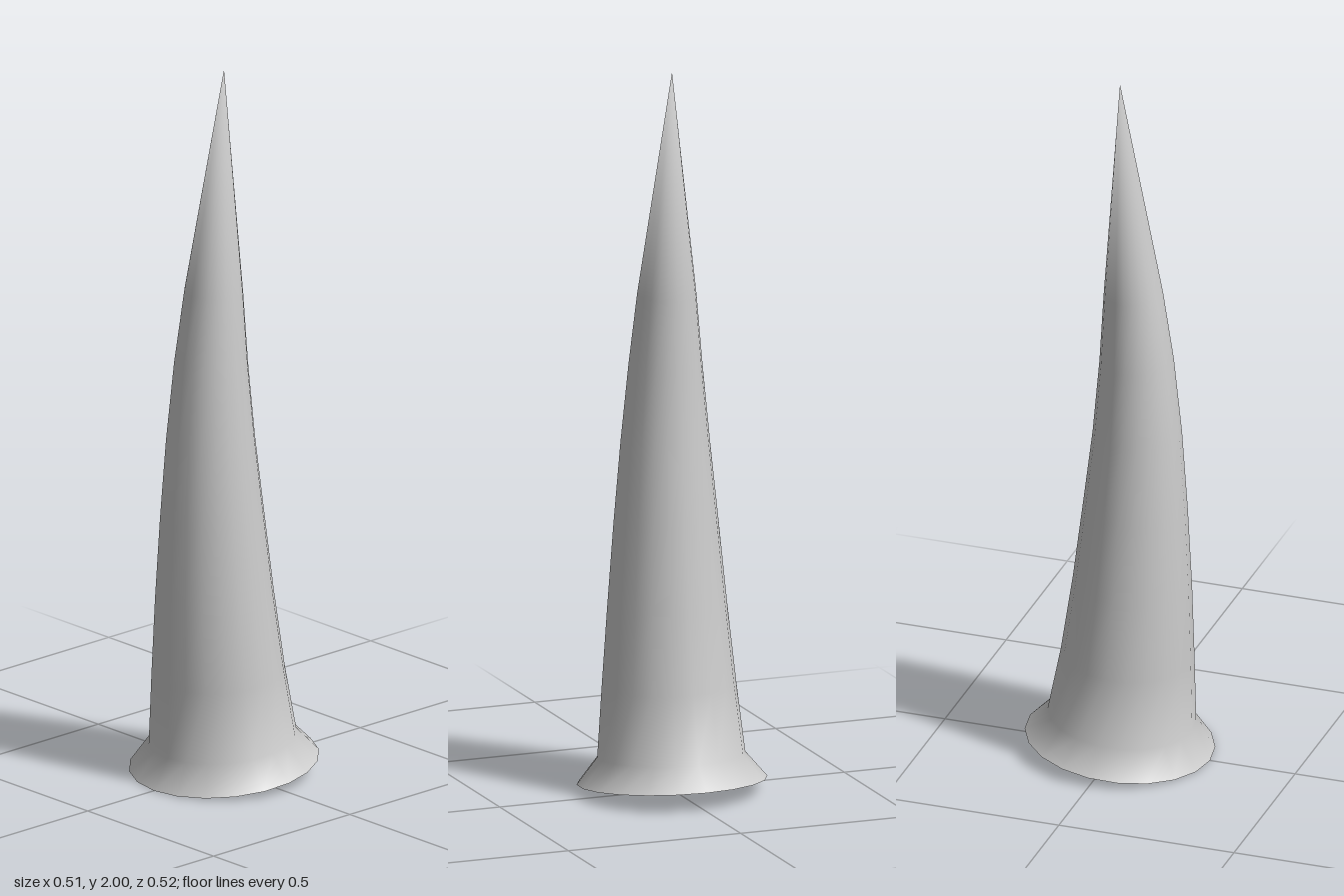
import * as THREE from 'three';

const SIDES = 20;

// Each tilted ring: left x, left y, right x, right y, half depth
const RINGS = [
  [-0.257, 0.0, 0.257, 0.053, 0.258],
  [-0.206, 0.08, 0.195, 0.115, 0.2],
  [-0.202, 0.28, 0.158, 0.3, 0.182],
  [-0.196, 0.5, 0.125, 0.52, 0.162],
  [-0.185, 0.73, 0.097, 0.745, 0.142],
  [-0.17, 0.96, 0.071, 0.96, 0.121],
  [-0.148, 1.18, 0.053, 1.17, 0.1],
  [-0.118, 1.38, 0.042, 1.37, 0.08],
];
const TIP = [0, 2, 0];

function ringPoints([lx, ly, rx, ry, depth]) {
  const points = [];
  for (let i = 0; i < SIDES; i++) {
    const a = (i / SIDES) * Math.PI * 2;
    const t = (1 + Math.cos(a)) / 2;
    points.push(lx + (rx - lx) * t, ly + (ry - ly) * t, depth * Math.sin(a));
  }
  return points;
}

function makeGeometry(positions, index) {
  const geometry = new THREE.BufferGeometry();
  geometry.setAttribute('position', new THREE.Float32BufferAttribute(positions, 3));
  geometry.setIndex(index);
  geometry.computeVertexNormals();
  return geometry;
}

export function createModel() {
  const group = new THREE.Group();
  group.name = 'curvedSpike';
  const material = new THREE.MeshStandardMaterial({ color: 0xcccccc });

  // Flared, bending body that closes in a sharp tip
  const positions = [...RINGS.flatMap(ringPoints), ...TIP];
  const tip = RINGS.length * SIDES;
  const index = [];
  for (let r = 0; r < RINGS.length; r++) {
    for (let i = 0; i < SIDES; i++) {
      const a = r * SIDES + i;
      const b = r * SIDES + ((i + 1) % SIDES);
      if (r === RINGS.length - 1) index.push(a, tip, b);
      else index.push(a, a + SIDES, b, b, a + SIDES, b + SIDES);
    }
  }
  const body = new THREE.Mesh(makeGeometry(positions, index), material);
  body.name = 'spikeBody';

  // Flat slanted underside
  const [lx, ly, rx, ry] = RINGS[0];
  const capIndex = [];
  for (let i = 0; i < SIDES; i++) capIndex.push(SIDES, i, (i + 1) % SIDES);
  const capPositions = [...ringPoints(RINGS[0]), (lx + rx) / 2, (ly + ry) / 2, 0];
  const base = new THREE.Mesh(makeGeometry(capPositions, capIndex), material);
  base.name = 'base';

  group.add(body, base);
  return group;
}
